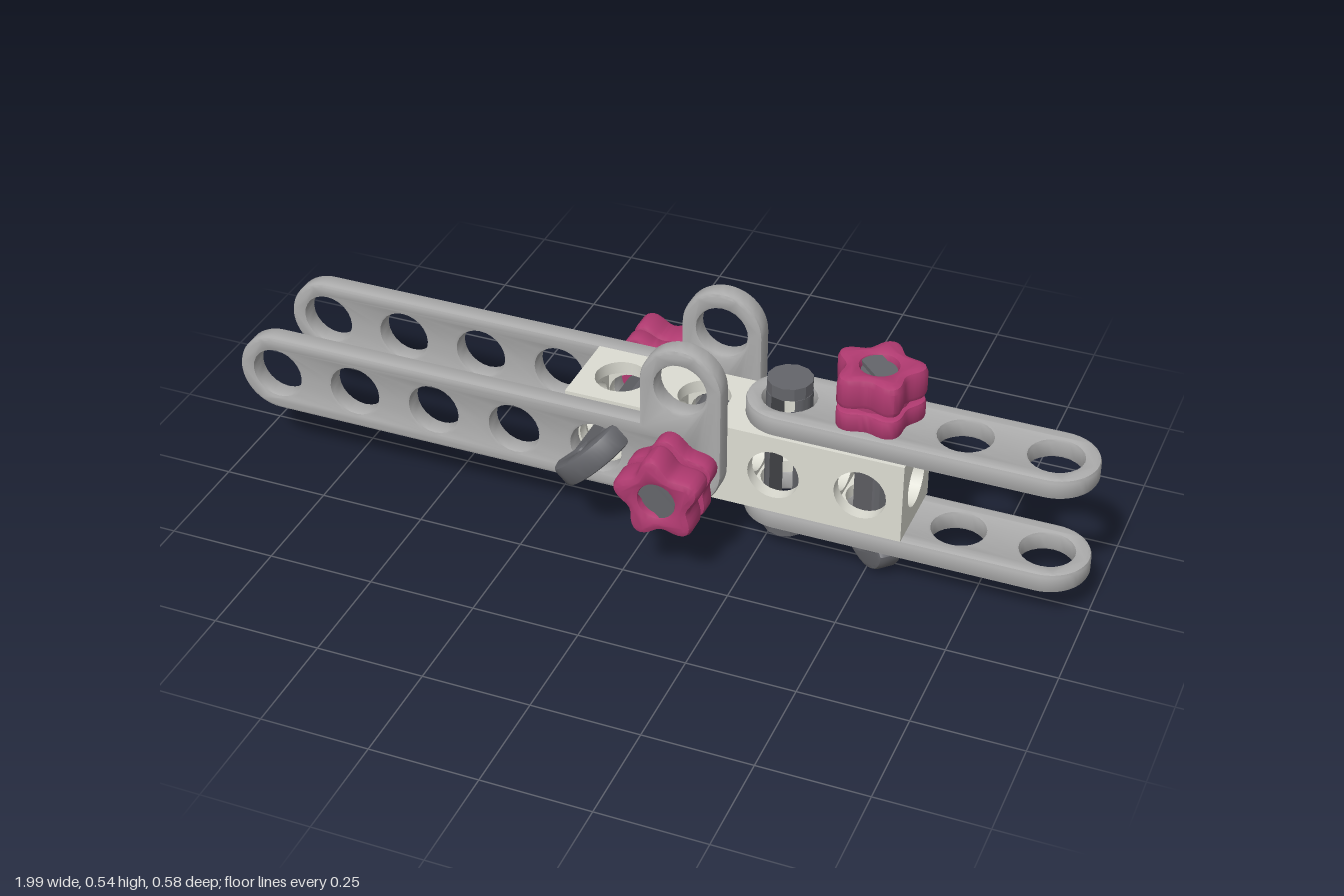
import * as THREE from 'three';
import { toCreasedNormals } from 'three/addons/utils/BufferGeometryUtils.js';

const PI = Math.PI;
const PITCH = 0.2, X0 = 0.095, CY = 0.2375; // hole spacing, reference hole, beam axis height
const R = 0.096, HOLE = 0.06, HALF = 0.0985, PLATE = 0.049;
const holeX = (k) => X0 + PITCH * k;

const mat = (color) => new THREE.MeshStandardMaterial({ color });
const beamMat = mat(0xdcdcd2), plateMat = mat(0xacacac), darkMat = mat(0x64656a), knobMat = mat(0xb03a70);

function add(parent, name, geometry, material, x = 0, y = 0, z = 0) {
  const mesh = new THREE.Mesh(geometry, material);
  mesh.name = name;
  mesh.position.set(x, y, z);
  parent.add(mesh);
  return mesh;
}

// Extrusion over z = 0..depth whose bevel stays inside the outline
function extrude(shape, depth, bevel = 0) {
  const g = new THREE.ExtrudeGeometry(shape, {
    depth: depth - 2 * bevel, curveSegments: 12, bevelEnabled: bevel > 0,
    bevelThickness: bevel, bevelSize: bevel, bevelOffset: -bevel, bevelSegments: 2,
  });
  g.translate(0, 0, bevel);
  return toCreasedNormals(g, 0.6);
}
const extrudeUp = (shape, depth, bevel) => extrude(shape, depth, bevel).rotateX(-PI / 2);

function drill(shape, x, y, r = HOLE) {
  shape.holes.push(new THREE.Path().absarc(x, y, r, 0, 2 * PI, true));
  return shape;
}

function rect(x0, x1, h) {
  return new THREE.Shape().moveTo(x0, -h).lineTo(x1, -h).lineTo(x1, h).lineTo(x0, h).closePath();
}

// Hollow square beam drilled on all sides, with round bored partitions
function makeBeam() {
  const g = new THREE.Group();
  g.name = 'beam';
  g.position.y = CY;
  const left = -0.2, right = 0.592, wall = 0.03, end = 0.035;
  const wallShape = (h) => {
    const s = rect(left + end, right - end, h);
    for (let k = -1; k <= 2; k++) drill(s, holeX(k), 0);
    return s;
  };
  const side = extrude(wallShape(HALF), wall);
  add(g, 'beamFrontWall', side, beamMat, 0, 0, HALF - wall);
  add(g, 'beamBackWall', side, beamMat, 0, 0, -HALF);
  const flat = extrudeUp(wallShape(HALF - wall), wall);
  add(g, 'beamTopWall', flat, beamMat, 0, HALF - wall, 0);
  add(g, 'beamBottomWall', flat, beamMat, 0, -HALF, 0);
  const across = (h, t) => extrude(drill(rect(-h, h, h), 0, 0), t).rotateY(PI / 2);
  add(g, 'beamEnd', across(HALF, end), beamMat, left);
  add(g, 'beamEnd', across(HALF, end), beamMat, right - end);
  for (let k = -1; k < 2; k++) {
    add(g, 'beamPartition', across(HALF - wall, 0.07), beamMat, holeX(k) + PITCH / 2 - 0.035);
  }
  return g;
}

// Long plate with an upright tab at its inner end
function sidePlateShape() {
  const s = new THREE.Shape();
  s.moveTo(holeX(-5), -R).lineTo(X0, -R);
  s.absarc(X0, 0, R, -PI / 2, 0);
  s.lineTo(X0 + R, PITCH);
  s.absarc(X0, PITCH + 0.007, R, 0, PI);
  s.lineTo(X0 - R, R);
  s.lineTo(holeX(-5), R);
  s.absarc(holeX(-5), 0, R, PI / 2, 1.5 * PI);
  for (let k = -5; k <= 0; k++) drill(s, holeX(k), 0);
  return drill(s, X0, PITCH + 0.003);
}

// Straight plate with round ends and four holes
function flatPlateShape() {
  const s = new THREE.Shape();
  s.absarc(holeX(4), 0, R, -PI / 2, PI / 2);
  s.absarc(holeX(1), 0, R, PI / 2, 1.5 * PI);
  for (let k = 1; k <= 4; k++) drill(s, holeX(k), 0);
  return s;
}

// Five-lobed outline of the hand knob
function lobes(mean, swing) {
  const pts = [];
  for (let i = 0; i < 60; i++) {
    const a = (i / 60) * 2 * PI, r = mean + swing * Math.cos(5 * (a - PI / 2));
    pts.push(new THREE.Vector2(r * Math.cos(a), r * Math.sin(a)));
  }
  return new THREE.Shape(pts);
}

// Flat-shanked thumb bolt along +y: head below 0, knob above `grip`
function makeBolt(grip, gap, knobSpin) {
  const g = new THREE.Group();
  g.name = 'thumbBolt';
  const shank = new THREE.Shape();
  shank.absarc(0, 0, 0.05, -PI / 6, PI / 6);
  shank.absarc(0, 0, 0.05, (5 * PI) / 6, (7 * PI) / 6);
  add(g, 'boltShank', extrudeUp(shank, grip + gap + 0.145), darkMat, 0, -0.02, 0);

  // Half-round thumb tab with a small cross hole
  const tab = new THREE.Shape();
  tab.absellipse(0, -0.016, 0.1, 0.074, PI, 2 * PI);
  tab.lineTo(0.09, -0.006);
  tab.lineTo(-0.09, -0.006);
  drill(tab, 0, -0.036, 0.013);
  add(g, 'boltHead', extrude(tab, 0.055, 0.01), darkMat, 0, 0, -0.0275);

  const knob = new THREE.Group();
  knob.name = 'knob';
  knob.position.y = grip + gap;
  knob.rotation.y = PI / 4 + knobSpin;
  add(knob, 'lockRing', extrudeUp(lobes(0.092, 0.012), 0.048, 0.007), knobMat);
  const neck = new THREE.CylinderGeometry(0.07, 0.07, 0.02, 24);
  add(knob, 'knobNeck', neck, knobMat, 0, 0.05, 0);
  add(knob, 'knobGrip', extrudeUp(drill(lobes(0.09, 0.015), 0, 0, 0.04), 0.079, 0.016), knobMat, 0, 0.053, 0);
  const insert = new THREE.CylinderGeometry(0.048, 0.048, 0.06, 20);
  add(knob, 'knobInsert', insert, darkMat, 0, 0.085, 0);
  g.add(knob);
  return g;
}

// Round pin slotted along its middle
function makePin() {
  const g = new THREE.Group();
  g.name = 'slottedPin';
  const cap = toCreasedNormals(new THREE.CylinderGeometry(0.052, 0.052, 0.03, 12), 0.4);
  add(g, 'pinCap', cap, darkMat, 0, 0.42, 0);
  add(g, 'pinCap', cap, darkMat, 0, 0.055, 0);
  const cheek = new THREE.Shape();
  cheek.absarc(0, 0, 0.052, -1.02, 1.02);
  const geo = extrudeUp(cheek, 0.335);
  add(g, 'pinCheek', geo, darkMat, 0, 0.07, 0);
  add(g, 'pinCheek', geo, darkMat, 0, 0.07, 0).rotation.y = PI;
  g.position.x = holeX(1);
  return g;
}

export function createModel() {
  const model = new THREE.Group();
  model.name = 'beamLinkage';
  model.add(makeBeam());

  const sidePlate = extrude(sidePlateShape(), PLATE, 0.008);
  add(model, 'frontPlate', sidePlate, plateMat, 0, CY, 0.101);
  add(model, 'backPlate', sidePlate, plateMat, 0, CY, -0.101 - PLATE);
  const flatPlate = extrudeUp(flatPlateShape(), PLATE, 0.008);
  add(model, 'topPlate', flatPlate, plateMat, 0, CY + HALF + 0.001, 0);
  add(model, 'bottomPlate', flatPlate, plateMat, 0, CY - HALF - 0.001 - PLATE, 0);

  model.add(makePin());

  // One upright bolt and two opposed cross bolts
  const upright = makeBolt(0.295, 0.003, 0);
  upright.position.set(holeX(2), 0.09, 0);
  upright.rotation.set(0, -PI / 4, 0);
  const cross = makeBolt(0.3, 0.009, PI / 20);
  cross.position.set(holeX(-1), CY, 0.15);
  cross.rotation.set(-PI / 2, -PI / 4, 0);
  const crossBack = makeBolt(0.3, 0.009, PI / 20);
  crossBack.position.set(X0, CY, -0.15);
  crossBack.rotation.set(PI / 2, -PI / 4, 0);
  model.add(upright, cross, crossBack);
  return model;
}
